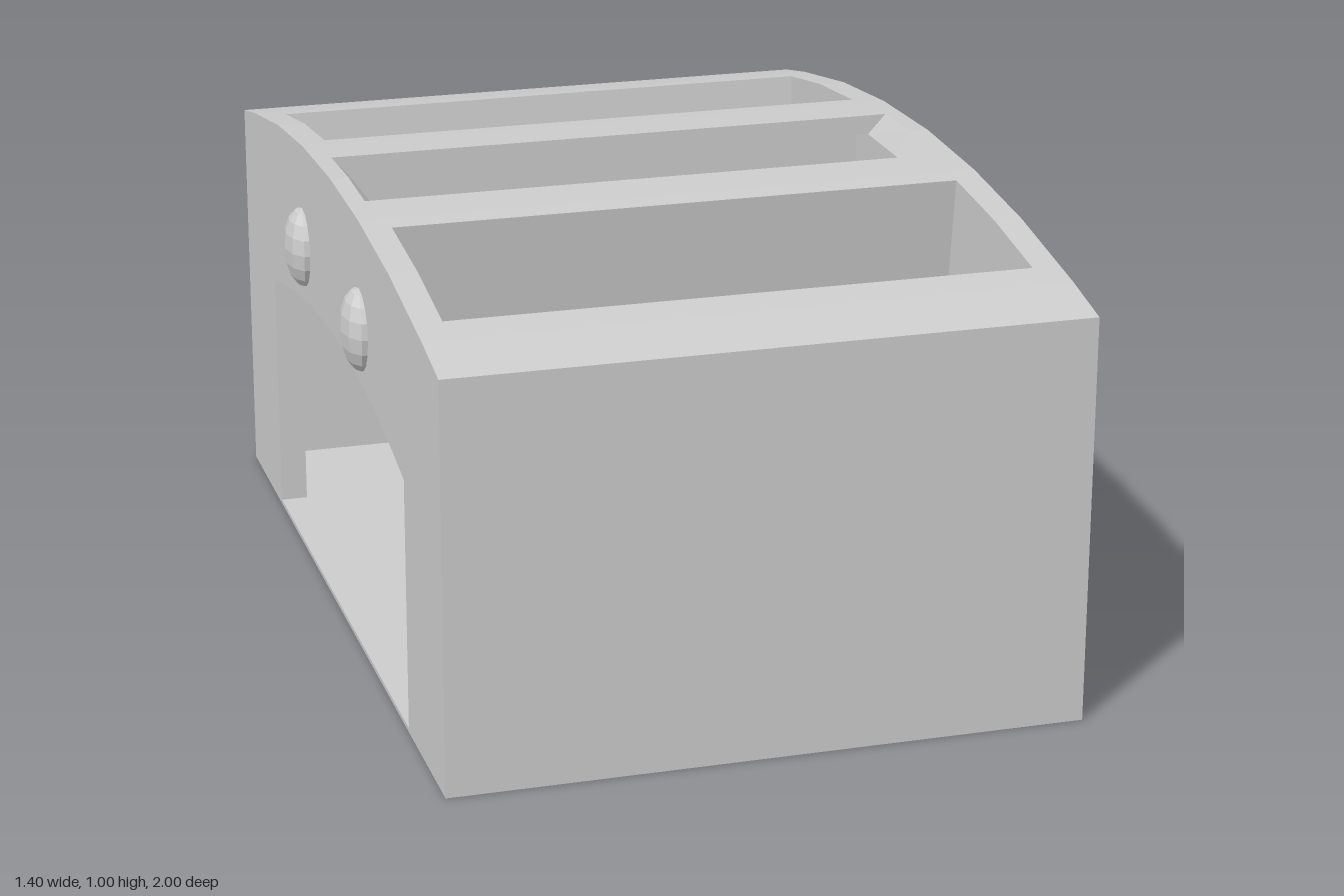
import * as THREE from 'three';

const X0 = -0.66, X1 = 0.7, IN0 = -0.6, IN1 = 0.64;   // outer and inner faces along x
const ARCH = [[0, 1], [0.29, 0.99], [0.57, 0.962], [0.86, 0.913], [1, 0.883]];
const KINKS = [-1, -0.86, -0.57, -0.29, 0, 0.29, 0.57, 0.86, 1];

// Height of the faceted arched top at a given z
function topY(z) {
  const a = Math.abs(z);
  const i = Math.max(1, ARCH.findIndex(p => p[0] >= a - 1e-9));
  const [z0, y0] = ARCH[i - 1], [z1, y1] = ARCH[i];
  return y0 + (y1 - y0) * (a - z0) / (z1 - z0);
}
// Height of the arched ceiling of the cavity
const ceilY = z => 0.645 - 0.19 * z * z;

// Corner list (z, y) of a chamber with flat floor and arched ceiling
function chamber(zMin, zMax) {
  const pts = [[zMin, 0.01], [zMax, 0.01]];
  for (let i = 0; i <= 10; i++) {
    const z = zMax + (zMin - zMax) * i / 10;
    pts.push([z, ceilY(z)]);
  }
  return pts;
}

export function createModel() {
  const group = new THREE.Group();
  const mat = new THREE.MeshStandardMaterial({ color: 0xcccccc, flatShading: true, side: THREE.DoubleSide });

  function add(geometry, name) {
    const mesh = new THREE.Mesh(geometry, mat);
    mesh.name = name;
    group.add(mesh);
    return mesh;
  }
  function addQuads(quads, name) {
    const pos = quads.flatMap(([a, b, c, d]) => [a, b, c, a, c, d].flat());
    const g = new THREE.BufferGeometry();
    g.setAttribute('position', new THREE.Float32BufferAttribute(pos, 3));
    g.computeVertexNormals();
    return add(g, name);
  }
  // Strip that sweeps a (z, y) line along x
  function ribbon(pts, x0, x1, name) {
    const quads = pts.slice(1).map(([qz, qy], i) => {
      const [pz, py] = pts[i];
      return [[x0, py, pz], [x1, py, pz], [x1, qy, qz], [x0, qy, qz]];
    });
    return addQuads(quads, name);
  }
  // Flat panel across x, facing dir along x
  function panel(pts, x, dir, name, hole) {
    const toVec = p => new THREE.Vector2(-dir * p[0], p[1]);
    const shape = new THREE.Shape(pts.map(toVec));
    if (hole) shape.holes.push(new THREE.Path(hole.map(toVec)));
    const g = new THREE.ShapeGeometry(shape);
    g.rotateY(dir * Math.PI / 2);
    g.translate(x, 0, 0);
    return add(g, name);
  }

  // Outer case
  const profile = [[-1, 0], [1, 0], ...KINKS.slice().reverse().map(z => [z, topY(z)])];
  const cavity = chamber(-0.98, 0.98), door = chamber(-0.67, 0.675);
  const closed = pts => [...pts, pts[0]].reverse();
  ribbon([[-1, topY(-1)], [-1, 0], [1, 0], [1, topY(1)]], X0, X1, 'caseShell');
  panel(profile, X1, 1, 'plainSide');
  panel(profile, X0, -1, 'doorSide', door);

  // Arched doorway and the cavity behind it
  ribbon(closed(door), X0, IN0, 'doorReveal');
  ribbon(closed(cavity), IN0, IN1, 'cavityLining');
  panel(cavity, IN1, -1, 'cavityEnd');
  panel(chamber(-0.98, -0.67), IN0, 1, 'innerDoorPost');
  panel(chamber(0.675, 0.98), IN0, 1, 'innerDoorPost');

  // Arched top with three openings
  const slots = [
    { z0: -0.785, z1: -0.34, x0: IN0, x1: IN1 },
    { z0: -0.17, z1: 0.17, x0: -0.62, x1: 0.66 },
    { z0: 0.34, z1: 0.785, x0: IN0, x1: IN1 },
  ];
  const zs = [...KINKS, ...slots.flatMap(s => [s.z0, s.z1])].sort((a, b) => a - b);
  const top = [];
  for (let i = 0; i < zs.length - 1; i++) {
    const za = zs[i], zb = zs[i + 1], mid = (za + zb) / 2;
    const s = slots.find(k => mid > k.z0 && mid < k.z1);
    for (const [a, b] of s ? [[X0, s.x0], [s.x1, X1]] : [[X0, X1]]) {
      top.push([[a, topY(za), za], [a, topY(zb), zb], [b, topY(zb), zb], [b, topY(za), za]]);
    }
  }
  addQuads(top, 'archedTop');

  // Pocket lofted through rings; each ring is { x0, x1, line: [[z, y], ...] }
  function pocket(sections, name) {
    const rings = sections.map(({ x0, x1, line }) => [
      ...line.map(([z, y]) => [x0, y, z]),
      ...line.slice().reverse().map(([z, y]) => [x1, y, z]),
    ]);
    const n = rings[0].length, quads = [];
    for (let r = 0; r < rings.length - 1; r++) {
      for (let i = 0; i < n; i++) {
        const j = (i + 1) % n;
        quads.push([rings[r][i], rings[r][j], rings[r + 1][j], rings[r + 1][i]]);
      }
    }
    const base = rings[rings.length - 1];
    for (let i = 0; i < n / 2 - 1; i++) quads.push([base[i], base[i + 1], base[n - 2 - i], base[n - 1 - i]]);
    return addQuads(quads, name);
  }

  // Outer pockets, sunk square to the arch
  for (const [s, side, name] of [[slots[0], -1, 'backPocket'], [slots[2], 1, 'frontPocket']]) {
    const rim = [s.z0, side * 0.57, s.z1].map(z => [z, topY(z)]);
    const floor = [s.z0, s.z1].map(z => [z - side * 0.042, topY(z) - 0.32]);
    floor.splice(1, 0, [(floor[0][0] + floor[1][0]) / 2, (floor[0][1] + floor[1][1]) / 2]);
    pocket([{ x0: s.x0, x1: s.x1, line: rim }, { x0: s.x0, x1: s.x1, line: floor }], name);
  }

  // Middle pocket: bevelled ends, wider below the lip
  const lip = [-0.17, 0, 0.17];
  const wide = y => [[-0.25, y], [0, y], [0.25, y]];
  pocket([
    { x0: -0.62, x1: 0.66, line: lip.map(z => [z, topY(z)]) },
    { x0: -0.58, x1: 0.62, line: lip.map(z => [z, 0.95]) },
    { x0: -0.58, x1: 0.62, line: wide(0.95) },
    { x0: -0.58, x1: 0.62, line: wide(0.67) },
  ], 'middlePocket');

  // Flattened round knobs above the doorway
  for (const z of [-0.315, 0.28]) {
    const knob = add(new THREE.SphereGeometry(1, 10, 8), 'knob');
    knob.scale.set(0.042, 0.09, 0.082);
    knob.position.set(X0, 0.75, z);
  }

  // Centre the whole on x
  group.position.x = 0;
  return group;
}
